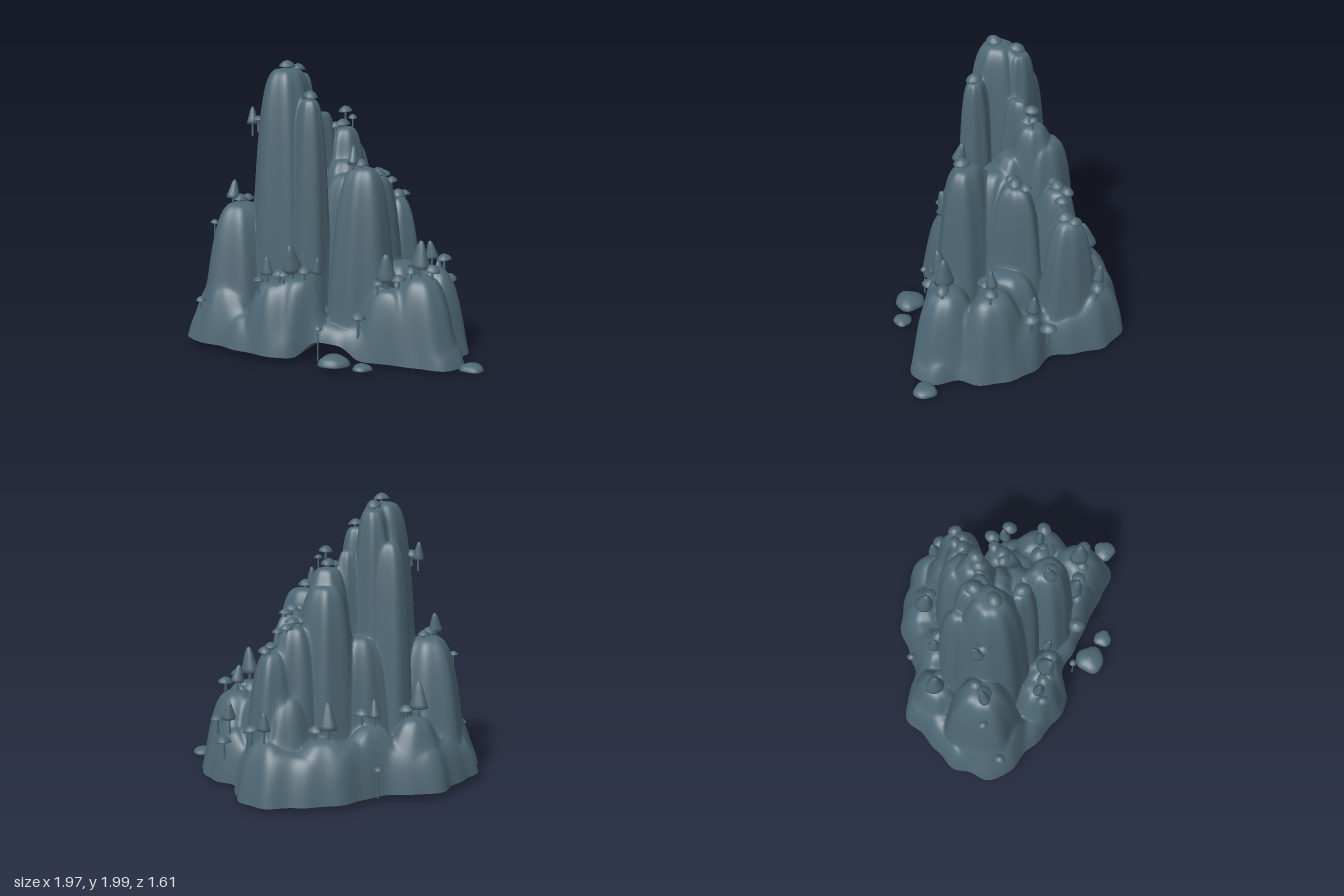
import * as THREE from 'three';

const stone = new THREE.MeshStandardMaterial({ color: 0x4d6673 });
stone.name = 'slate blue stone';
const V = (x, y) => new THREE.Vector2(x, y);

// Footprint of the island from above as [x, z]; small lobes are added by rule
const FOOTPRINT = [
  [-0.54, -0.69], [-0.79, -0.45], [-0.94, -0.27], [-0.965, 0.06], [-0.74, 0.24], [-0.55, 0.4], [-0.34, 0.495],
  [-0.16, 0.45], [0.08, 0.54], [0.42, 0.66], [0.68, 0.765], [0.84, 0.68], [0.87, 0.45], [0.95, 0.25],
  [0.89, -0.02], [0.77, -0.2], [0.75, -0.6], [0.6, -0.75], [0.08, -0.79], [-0.18, -0.66]];

// Tall peaks: x, z, height, radius
const PEAKS = [
  [-0.29, -0.06, 1.93, 0.265], [-0.21, -0.2, 1.89, 0.165], [-0.14, 0.11, 1.74, 0.15], [0.1, -0.2, 1.51, 0.21],
  [0.19, 0.27, 1.3, 0.24], [0.36, -0.34, 1.14, 0.2], [0.51, -0.36, 0.98, 0.21], [-0.62, -0.11, 1, 0.29],
  [0.33, -0.06, 1.18, 0.21]];
// Ridges joining the peaks: x, z, height, radius
const RIDGES = [
  [0.15, 0.04, 1.22, 0.27], [-0.3, -0.24, 1.68, 0.19], [0.5, 0.05, 0.6, 0.27], [-0.72, 0.05, 0.45, 0.22],
  [-0.06, -0.16, 1.62, 0.15], [0.14, -0.29, 1.4, 0.24], [0.11, -0.07, 1.3, 0.22], [-0.8, -0.1, 0.46, 0.2],
  [-0.1, -0.3, 1.05, 0.22], [0.42, -0.42, 0.7, 0.24]];
// Foothills: x, z, height
const FOOTHILLS = [
  [0.6, 0.5, 0.6], [0.72, 0.2, 0.6], [0.38, 0.48, 0.51], [-0.41, 0.28, 0.52], [-0.24, 0.31, 0.55],
  [0.62, -0.57, 0.43], [0.2, -0.61, 0.43], [-0.13, -0.5, 0.48], [-0.44, -0.46, 0.52], [0.8, -0.06, 0.4]];
const MOUNDS = [...PEAKS, ...RIDGES, ...FOOTHILLS.map(([x, z, h]) => [x, z, h, h > 0.55 ? 0.265 : 0.225])];

// Blended height of all fluted mounds above one point
function rise(x, z) {
  const wx = x + 0.014 * Math.sin(13 * z + 1), wz = z + 0.014 * Math.sin(14 * x);
  const k = 0.1;
  let h = 0.31 - 0.12 * z + 0.03 * Math.sin(9 * x + 2) * Math.sin(8 * z);
  MOUNDS.forEach(([px, pz, H, r], i) => {
    const u = (wx - px) / r, v = (wz - pz) / r, a = Math.atan2(v, u);
    const flute = 1 + 0.04 * Math.sin(3 * a + i * 2.3) + 0.03 * Math.sin(7 * a + i);
    const d = Math.hypot(u, v) * flute;
    if (d > 1.2) return;
    const mound = H * (1 - Math.pow(d, 2.9 + 0.9 * H));
    const m = Math.max(k - Math.abs(h - mound), 0) / k;
    h = Math.max(h, mound) + m * m * k * 0.25;
  });
  return h;
}

// Lower rim height, with a hollow under the front edge
const underside = (x, z) => 0.035 - 0.022 * x + (z > 0.25 ? 0.1 * Math.exp(-(((x + 0.05) / 0.16) ** 4)) : 0);

function part(name, geometry) {
  const mesh = new THREE.Mesh(geometry, stone);
  mesh.name = name;
  return mesh;
}

function surface(name, positions, indices) {
  const geo = new THREE.BufferGeometry();
  geo.setAttribute('position', new THREE.Float32BufferAttribute(positions, 3));
  geo.setIndex(indices);
  geo.computeVertexNormals();
  return part(name, geo);
}

// Mountain skin as rings from the centre out to the footprint, closed underneath
function mountain() {
  const curve = new THREE.CatmullRomCurve3(FOOTPRINT.map(([x, z]) => new THREE.Vector3(x, 0, z)), true);
  const rings = 150, segs = 300, row = segs + 1;
  const edge = curve.getSpacedPoints(segs);
  edge.forEach((e, j) => {
    const t = (j / segs) * Math.PI * 2;
    e.multiplyScalar(1 + 0.01 * Math.sin(t * 23) + 0.008 * Math.sin(t * 14 + 1));
  });
  const pos = [], idx = [], rim = [0, 0.06, 0], fan = [];
  for (let i = 0; i <= rings; i++) {
    const s = Math.pow(i / rings, 0.85);
    for (let j = 0; j <= segs; j++) {
      const x = edge[j % segs].x * s, z = edge[j % segs].z * s, base = underside(x, z);
      pos.push(x, base + (rise(x, z) - base) * (1 - Math.pow(s, 16)), z);
      if (i === rings) rim.push(x, base, z);
    }
  }
  for (let j = 0; j < segs; j++) {
    fan.push(0, j + 2, j + 1);
    for (let i = 0; i < rings; i++) {
      const a = i * row + j, b = a + row;
      idx.push(a, b, b + 1, a, b + 1, a + 1);
    }
  }
  return [surface('mountain', pos, idx), surface('underside', rim, fan)];
}

// Crown shapes with a radius of one
const CAP = new THREE.LatheGeometry([V(0, 0.12), V(0.55, 0.08), V(0.95, -0.08), V(1, 0), V(0.85, 0.25),
  V(0.55, 0.5), V(0.25, 0.64), V(0, 0.68)], 14);
const SPIRE = new THREE.LatheGeometry([V(0, 0.1), V(0.6, 0), V(1, 0.1), V(0.95, 0.5), V(0.75, 1.1),
  V(0.58, 1.7), V(0.4, 2.3), V(0.2, 2.65), V(0, 2.75)], 12);
const STEM = new THREE.CylinderGeometry(0.16, 0.24, 1, 8);

// Tree with a crown shape, position on the ground, crown radius and stem height
function tree(shape, x, z, r, stem, y = rise(x, z)) {
  const g = new THREE.Group();
  g.name = shape === SPIRE ? 'pointedTree' : 'capTree';
  const trunk = part('trunk', STEM);
  trunk.scale.set(r * 0.8, stem + 0.06, r * 0.8);
  trunk.position.y = stem / 2 - 0.02;
  const crown = part('crown', shape);
  crown.scale.set(r, r, r * 0.85);
  crown.position.y = stem;
  crown.rotation.set(0.12 * Math.sin(x * 40), x * 9, 0.14 * Math.cos(z * 30));
  g.add(trunk, crown);
  g.position.set(x, y, z);
  return g;
}

// Trees on every peak and foothill, then a few on ledges and walls
function trees() {
  const list = [];
  PEAKS.forEach(([x, z, h], n) => {
    list.push(tree(CAP, x, z + 0.02, 0.058, 0.02));
    if (n > 2) list.push(tree(n % 3 === 1 ? SPIRE : CAP, x - 0.05, z + 0.03, 0.048, 0.03));
    if (h < 1.2) list.push(tree(CAP, x + 0.05, z - 0.04, 0.05, 0.02));
  });
  FOOTHILLS.forEach(([x, z], n) => {
    list.push(tree(SPIRE, x - 0.03, z, 0.058 + 0.012 * Math.cos(n * Math.PI), 0.05));
    list.push(tree(CAP, x + 0.05, z + 0.03, 0.057, 0.05));
    if (n < 5) list.push(tree(CAP, x - 0.09, z + 0.03, 0.045, 0.05));
  });
  list.push(
    tree(CAP, 0.12, -0.2, 0.055, 0.11), tree(CAP, 0.17, -0.2, 0.035, 0.07),
    tree(SPIRE, -0.53, -0.13, 0.045, 0.03, 1.51), tree(CAP, -0.49, -0.1, 0.05, 0.03, 1.54),
    tree(CAP, -0.8, -0.08, 0.035, 0.05), tree(CAP, -0.9, 0.04, 0.04, 0.01),
    tree(CAP, 0.59, 0.21, 0.075, 0.06), tree(SPIRE, -0.11, 0.31, 0.04, 0.1),
    tree(CAP, 0.16, 0.52, 0.065, 0.09, 0.23), tree(CAP, 0.82, -0.16, 0.06, 0.07, 0.25),
    tree(CAP, -0.11, 0.52, 0.03, 0.17, 0.08), tree(CAP, -0.15, -0.68, 0.035, 0.14, 0.08));
  return list;
}

// Loose boulder with a lobed outline and a flattened foot
function boulder(x, z, r, y, h) {
  const geo = new THREE.SphereGeometry(1, 20, 12);
  const p = geo.attributes.position;
  for (let i = 0; i < p.count; i++) {
    const a = Math.atan2(p.getZ(i), p.getX(i)), v = p.getY(i);
    const f = 1 + 0.07 * Math.sin(3 * a + x * 5) + 0.04 * Math.sin(5 * a);
    p.setXYZ(i, p.getX(i) * f, v < 0 ? v * 0.3 : v, p.getZ(i) * f);
  }
  geo.computeVertexNormals();
  const m = part('boulder', geo);
  m.scale.set(r, h / 1.3, r);
  m.position.set(x, y + (h * 0.3) / 1.3, z);
  return m;
}

export function createModel() {
  const model = new THREE.Group();
  model.name = 'mountainIsland';
  model.add(...mountain(), ...trees());
  model.add(boulder(-0.01, 0.65, 0.105, 0.03, 0.08), boulder(0.17, 0.735, 0.065, 0.025, 0.045),
    boulder(0.9, 0.71, 0.08, 0, 0.055));
  return model;
}
